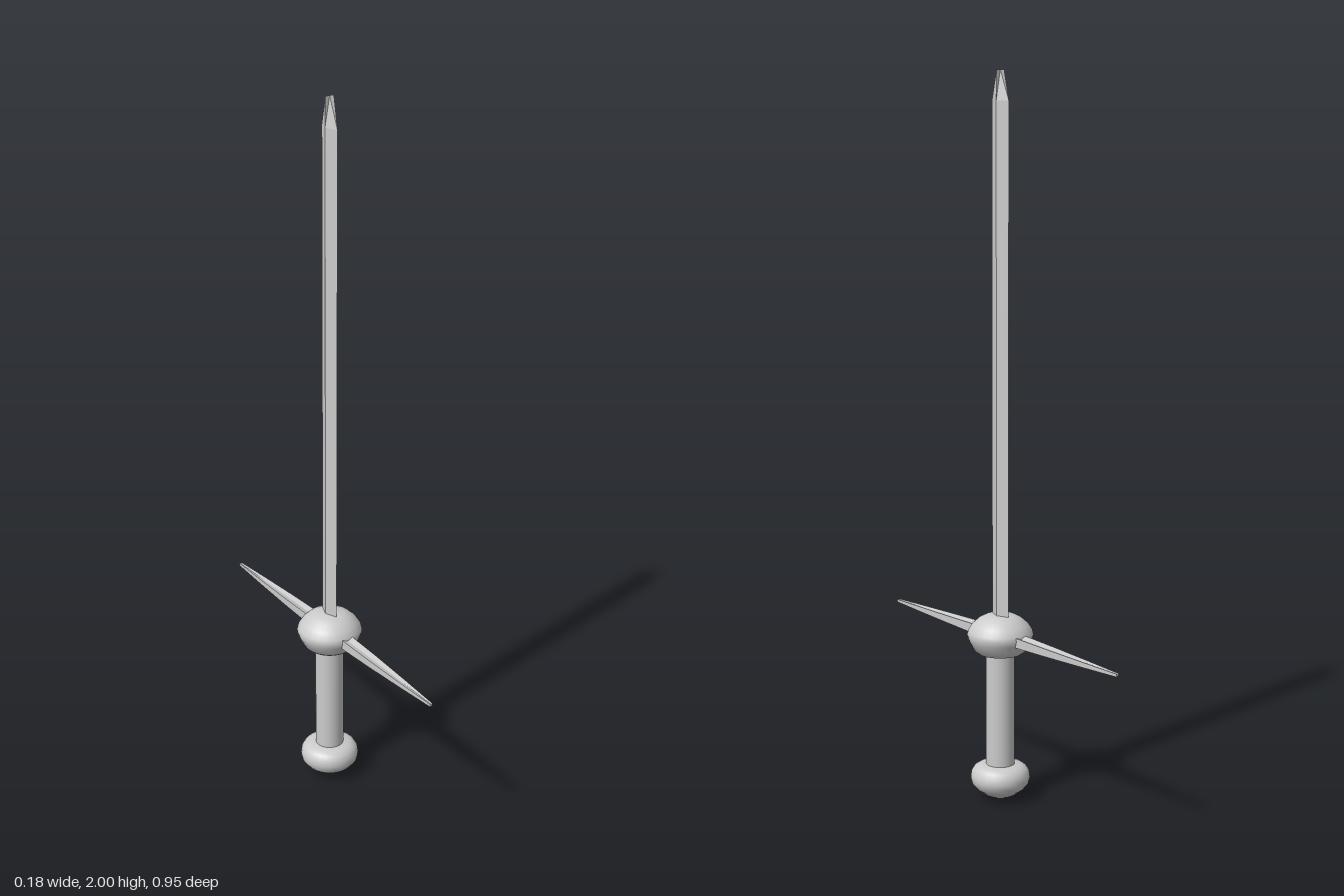
import * as THREE from 'three';
import { toCreasedNormals } from 'three/addons/utils/BufferGeometryUtils.js';

const smooth = new THREE.MeshStandardMaterial({ color: 0xcccccc });
const faceted = new THREE.MeshStandardMaterial({ color: 0xcccccc, flatShading: true });

// Skin a list of equal-length rings and close both ends with fans.
function loft(rings) {
  const pos = [];
  const tri = (...pts) => pts.forEach((p) => pos.push(...p));
  const n = rings[0].length;
  for (let k = 0; k < rings.length - 1; k++) {
    for (let i = 0; i < n; i++) {
      const j = (i + 1) % n;
      const [a, b, c, d] = [rings[k][i], rings[k][j], rings[k + 1][j], rings[k + 1][i]];
      tri(a, b, c);
      tri(a, c, d);
    }
  }
  const centre = (r) => [0, 1, 2].map((q) => r.reduce((s, p) => s + p[q], 0) / n);
  const first = rings[0], last = rings[rings.length - 1];
  for (let i = 0; i < n; i++) {
    const j = (i + 1) % n;
    tri(centre(first), first[j], first[i]);
    tri(centre(last), last[i], last[j]);
  }
  const geo = new THREE.BufferGeometry();
  geo.setAttribute('position', new THREE.Float32BufferAttribute(pos, 3));
  geo.computeVertexNormals();
  return geo;
}

function turned(profile) {
  const pts = profile.map(([r, y]) => new THREE.Vector2(r, y));
  return toCreasedNormals(new THREE.LatheGeometry(pts, 32), 0.6);
}

export function createModel() {
  const model = new THREE.Group();
  const add = (name, geo, mat) => {
    const mesh = new THREE.Mesh(geo, mat);
    mesh.name = name;
    model.add(mesh);
  };

  // Diamond-section blade ending in a chisel edge
  const diamond = (y, x, z) => [[0, y, z], [x, y, 0], [0, y, -z], [-x, y, 0]];
  add('blade', loft([
    diamond(0.5, 0.014, 0.035),
    diamond(1.92, 0.014, 0.035),
    diamond(2, 0.013, 0),
  ]), faceted);

  // Tapering crossguard with a shallow groove above and below
  const guardRing = (z) => {
    const t = Math.abs(z) / 0.475;
    const w = 0.019 - 0.015 * t ** 1.6;
    const h = 0.016 - 0.012 * t;
    return [[w, -h], [w, h], [0, h * 0.6], [-w, h], [-w, -h], [0, -h * 0.6]]
      .map(([x, y]) => [x, 0.47 + y, z]);
  };
  add('crossguard', loft([-0.475, -0.35, -0.21, 0, 0.21, 0.35, 0.475].map(guardRing)), faceted);

  // Round collar, grip and pommel
  add('collar', turned([
    [0, 0.422], [0.062, 0.422], [0.072, 0.43], [0.087, 0.458], [0.092, 0.474],
    [0.089, 0.485], [0.078, 0.502], [0.06, 0.518], [0.04, 0.528], [0, 0.528],
  ]), smooth);
  add('grip', new THREE.CylinderGeometry(0.04, 0.04, 0.36, 32).translate(0, 0.26, 0), smooth);
  add('pommel', turned([
    [0, 0], [0.02, 0.003], [0.045, 0.015], [0.068, 0.032], [0.08, 0.047], [0.083, 0.062],
    [0.081, 0.077], [0.073, 0.09], [0.06, 0.098], [0.04, 0.101], [0, 0.101],
  ]), smooth);

  return model;
}
